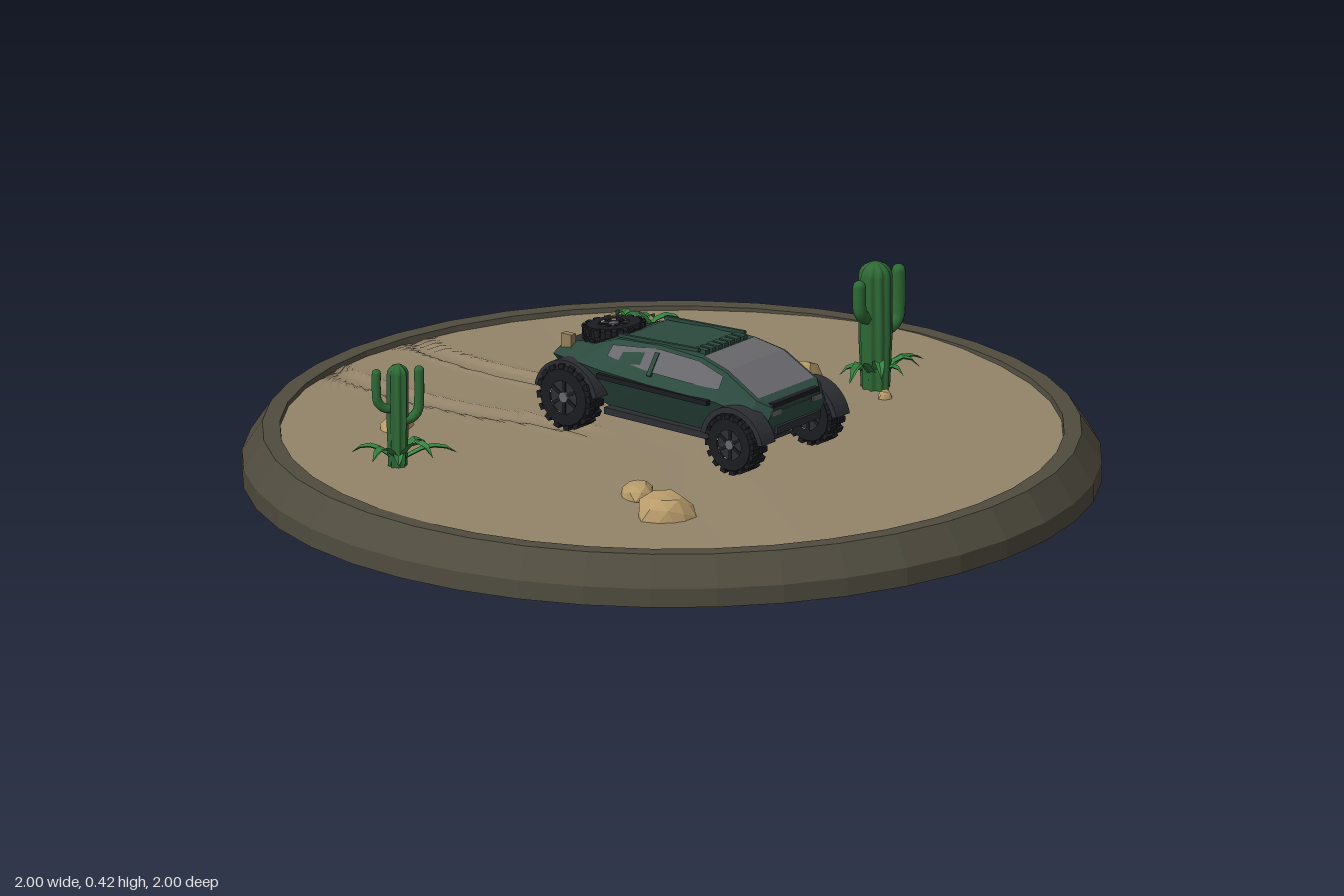
import * as THREE from 'three';

const M = (name, color, opt = {}) => {
  const m = new THREE.MeshStandardMaterial({ color, ...opt });
  m.name = name;
  return m;
};

export function createModel() {
  const root = new THREE.Group();
  root.name = 'desertDiorama';
  const flat = { flatShading: true }, two = { side: THREE.DoubleSide };
  const stone = M('baseStone', 0x504c3f, flat), sand = M('sand', 0x94846a);
  const rockMat = M('rock', 0xb99c6b, flat), cactusMat = M('cactusGreen', 0x2f6a36);
  const leafMat = M('leafGreen', 0x35803f, { ...flat, ...two });
  const paint = M('bodyGreen', 0x2c4a3f, flat), glass = M('glassGrey', 0x68686c, { ...flat, ...two });
  const tyreMat = M('tyreBlack', 0x1b1c21, flat), trim = M('trimGrey', 0x2c2e33, { ...flat, ...two });
  const tan = M('canTan', 0x94805a);

  const add = (parent, name, geo, mat, x = 0, y = 0, z = 0) => {
    const m = new THREE.Mesh(geo, mat);
    m.name = name;
    m.position.set(x, y, z);
    parent.add(m);
    return m;
  };
  const group = (parent, name, x = 0, y = 0, z = 0) => {
    const g = new THREE.Group();
    g.name = name;
    g.position.set(x, y, z);
    parent.add(g);
    return g;
  };
  const box = (parent, name, w, h, d, mat, x, y, z) => add(parent, name, new THREE.BoxGeometry(w, h, d), mat, x, y, z);
  const V2 = (a) => a.map(([x, y]) => new THREE.Vector2(x, y));
  const mesh3 = (tris) => {
    const g = new THREE.BufferGeometry();
    g.setAttribute('position', new THREE.Float32BufferAttribute(tris.flat(), 3));
    g.computeVertexNormals();
    return g;
  };
  const reshape = (g, rule) => {
    const p = g.attributes.position;
    const v = new THREE.Vector3();
    for (let i = 0; i < p.count; i++) {
      rule(v.fromBufferAttribute(p, i));
      p.setXYZ(i, v.x, v.y, v.z);
    }
    g.computeVertexNormals();
    return g;
  };

  // Round plinth with a raised rim
  add(root, 'base', new THREE.LatheGeometry(V2([[0, 0], [1, 0], [1, 0.045], [0.953, 0.115], [0.912, 0.115], [0.908, 0.09]]), 40), stone);

  // Sand with a low dune and two curved wheel ruts behind the car
  const groundY = (x, z) => {
    let y = 0.103 + 0.011 * Math.exp(-(((z + 0.05) / 0.27) ** 2)) + 0.002 * Math.sin(4 * x + 3 * z);
    if (z < -0.15) {
      const bend = 0.04 * (((z + 0.6) / 0.3) ** 2);
      for (const c of [-0.175, 0.105]) {
        const d = Math.abs(x - c - Math.min(bend, 0.04));
        if (d < 0.032) y -= 0.006 * Math.min(1, (0.032 - d) / 0.012);
        else y += 0.004 * Math.exp(-(((d - 0.036) / 0.012) ** 2));
      }
    }
    return y;
  };
  const groundGeo = new THREE.PlaneGeometry(2, 2, 150, 50).rotateX(-Math.PI / 2);
  add(root, 'ground', reshape(groundGeo, (v) => {
    v.z = 0.911 * Math.sin(v.z * Math.PI / 2);
    v.x *= Math.sqrt(Math.max(0, 0.911 ** 2 - v.z ** 2));
    v.y = groundY(v.x, v.z);
  }), sand);

  // Rocks: x, z, half width, half depth, height, turn
  [[-0.485, 0.375, 0.075, 0.07, 0.05, 0.4], [-0.42, 0.235, 0.052, 0.04, 0.032, 0.6], [-0.375, -0.52, 0.047, 0.032, 0.025, 0],
    [0.485, -0.145, 0.06, 0.045, 0.042, -0.7], [0.35, -0.068, 0.036, 0.03, 0.026, -0.7], [0.455, 0.002, 0.072, 0.044, 0.044, 0],
    [0.503, 0.23, 0.02, 0.016, 0.018, 0.3]].forEach(([x, z, w, d, h, turn], k) => {
    const geo = reshape(new THREE.IcosahedronGeometry(1, 1), (v) => {
      v.multiplyScalar(1 + 0.1 * Math.sin(7 * v.x + 5 * v.y + 9 * v.z + k * 2));
      v.set(v.x * w, Math.min(v.y, 0.85) * h * 1.1, v.z * d);
    });
    add(root, 'rock', geo, rockMat, x, groundY(x, z), z).rotation.y = turn;
  });

  // Curved tapering leaf running along +z
  const leaf = (parent, dx, dz, lift) => {
    const len = Math.hypot(dx, dz);
    const geo = reshape(new THREE.PlaneGeometry(1, 1, 2, 5).rotateX(-Math.PI / 2), (v) => {
      const t = v.z + 0.5, side = v.x;
      const w = 0.036 * Math.sqrt(1 - t) * (0.55 + 0.9 * t);
      v.set(side * w, lift * Math.sin(t * 2.5) + Math.abs(side) * w * 0.6, t * len);
    });
    add(parent, 'leaf', geo, leafMat, 0, 0.004, 0).rotation.y = Math.atan2(dx, dz);
  };
  // Ribbed upright with a rounded top
  const stem = (parent, name, r, h, ribs, round) => {
    const pts = [[r * 0.85, -0.01], [r, h * 0.4], [r, h - round]];
    for (let i = 1; i <= 5; i++) pts.push([r * Math.cos(i * Math.PI / 10), h - round + round * Math.sin(i * Math.PI / 10)]);
    const geo = reshape(new THREE.LatheGeometry(V2(pts), ribs * 4), (v) => {
      const s = 0.9 + 0.13 * Math.cos(ribs * Math.atan2(v.z, v.x));
      v.x *= s;
      v.z *= s;
    });
    return add(parent, name, geo, cactusMat);
  };
  // Arm that leaves the stem sideways and bends up
  const arm = (parent, dx, dz, y0, y1, r) => {
    const pts = [[0, y0], [0.6, y0 + 0.003], [0.93, y0 + 0.02], [1, y0 + 0.05], [1, y1 - r]];
    const path = new THREE.CatmullRomCurve3(pts.map(([t, y]) => new THREE.Vector3(dx * t, y, dz * t)));
    add(parent, 'cactusArm', new THREE.TubeGeometry(path, 18, r, 10), cactusMat);
    add(parent, 'cactusArmTip', new THREE.SphereGeometry(r, 10, 6), cactusMat, dx, y1 - r, dz);
  };
  const plant = (name, x, z, leaves, lift) => {
    const g = group(root, name, x, groundY(x, z), z);
    leaves.forEach(([dx, dz], i) => leaf(g, dx, dz, lift * (0.75 + 0.25 * (i % 3))));
    return g;
  };
  const tall = plant('tallCactus', 0.545, 0.167, [[0.16, 0.015], [0.075, -0.105], [-0.14, 0.035], [-0.06, -0.06], [0.085, 0.065], [-0.07, 0.075], [0.03, 0.06]], 0.06);
  stem(tall, 'cactusTrunk', 0.039, 0.307, 9, 0.035);
  arm(tall, -0.06, 0, 0.175, 0.275, 0.016);
  arm(tall, 0.073, 0.01, 0.135, 0.285, 0.017);
  const small = plant('smallCactus', -0.605, -0.33, [[-0.055, -0.095], [-0.1, 0.005], [-0.005, 0.11], [0.1, 0.1], [0.075, 0.03], [0.06, -0.05], [-0.07, 0.06]], 0.05);
  stem(small, 'cactusTrunk', 0.025, 0.248, 8, 0.024);
  arm(small, -0.042, -0.03, 0.14, 0.24, 0.011);
  arm(small, 0.042, 0.03, 0.11, 0.24, 0.012);
  const barrel = plant('barrelCactus', 0.445, -0.47, [[-0.095, -0.08], [0.105, -0.025], [0.1, 0.075], [-0.11, 0.045], [0.02, 0.09], [0.04, -0.09]], 0.05);
  stem(barrel, 'barrelStem', 0.044, 0.085, 8, 0.055);

  // ---- Off-road car ----
  const car = group(root, 'car');
  // Body cross-sections: z, floor half width, floor y, shoulder half width, shoulder y, roof half width, roof y
  const S = [
    [0.372, 0.08, 0.2, 0.105, 0.232, 0.085, 0.258], [0.342, 0.09, 0.18, 0.138, 0.245, 0.112, 0.278],
    [0.25, 0.1, 0.165, 0.15, 0.265, 0.11, 0.328], [0.17, 0.1, 0.16, 0.157, 0.268, 0.1, 0.345],
    [0.05, 0.1, 0.162, 0.158, 0.27, 0.1, 0.35], [-0.09, 0.1, 0.168, 0.155, 0.275, 0.09, 0.336],
    [-0.17, 0.1, 0.19, 0.145, 0.278, 0.085, 0.305], [-0.262, 0.07, 0.225, 0.115, 0.272, 0.075, 0.29]];
  const rings = S.map(([z, a, ya, b, yb, c, yc]) => [[a, ya, z], [b, yb, z], [c, yc, z], [-c, yc, z], [-b, yb, z], [-a, ya, z]]);
  const tris = [];
  for (let k = 0; k < rings.length - 1; k++) {
    for (let i = 0; i < 6; i++) {
      const j = (i + 1) % 6, A = rings[k], B = rings[k + 1];
      tris.push(A[i], B[i], B[j], A[i], B[j], A[j]);
    }
  }
  for (let i = 1; i < 5; i++) {
    const A = rings[0], B = rings[rings.length - 1];
    tris.push(A[0], A[i], A[i + 1], B[0], B[i + 1], B[i]);
  }
  add(car, 'body', mesh3(tris), paint);

  // Thin panels laid over the body
  const strip = (name, rows, mat) => {
    const t = [];
    for (let i = 0; i < rows.length - 1; i++) {
      const [a, b] = rows[i], [c, d] = rows[i + 1];
      t.push(a, c, d, a, d, b);
    }
    add(car, name, mesh3(t), mat);
  };
  const across = (k, f) => [[-S[k][5] * f, S[k][6] + 0.003, S[k][0]], [S[k][5] * f, S[k][6] + 0.003, S[k][0]]];
  strip('windshield', [1, 2, 3].map((k) => across(k, 0.93)), glass);
  strip('rearDeck', [5, 6, 7].map((k) => across(k, 0.9)), trim);
  for (const s of [1, -1]) {
    const at = (k, t) => [s * (S[k][3] + (S[k][5] - S[k][3]) * t + 0.003), S[k][4] + (S[k][6] - S[k][4]) * t + 0.002, S[k][0]];
    strip('sideWindow', [[2, 0.4, 0.85], [3, 0.3, 0.9], [4, 0.3, 0.9], [5, 0.45, 0.8]].map(([k, a, b]) => [at(k, a), at(k, b)]), glass);
    box(car, 'windowPillar', 0.006, 0.06, 0.012, paint, s * 0.131, 0.312, 0.05).rotation.z = s * 0.62;
    box(car, 'sill', 0.03, 0.016, 0.32, trim, s * 0.112, 0.168, 0.06);
    box(car, 'sideTrim', 0.012, 0.012, 0.33, tyreMat, s * 0.157, 0.262, 0.07);
    box(car, 'roofRail', 0.008, 0.008, 0.24, paint, s * 0.085, 0.35, 0.03).rotation.x = -0.05;
    box(car, 'headlight', 0.035, 0.012, 0.012, glass, s * 0.075, 0.246, 0.368);
    box(car, 'fuelCan', 0.018, 0.035, 0.03, tan, s * 0.085, 0.3, -0.24);
  }
  for (let i = -3; i <= 3; i++) box(car, 'roofVent', 0.016, 0.01, 0.035, paint, i * 0.023, 0.35, 0.145);
  box(car, 'grille', 0.17, 0.022, 0.02, tyreMat, 0, 0.258, 0.362);
  box(car, 'frontBumper', 0.16, 0.018, 0.03, trim, 0, 0.205, 0.365);
  box(car, 'rearBumper', 0.16, 0.02, 0.02, trim, 0, 0.235, -0.262);
  box(car, 'chassis', 0.11, 0.025, 0.5, trim, 0, 0.17, 0.06).rotation.x = 0.03;

  // Knobbly tyre with spoked hub, axis along x
  const wheel = (parent, name, r, w) => {
    const g = group(parent, name);
    const profile = V2([[r * 0.5, -w / 2], [r * 0.86, -w / 2], [r * 0.95, -w * 0.35], [r * 0.95, w * 0.35], [r * 0.86, w / 2], [r * 0.5, w / 2]]);
    add(g, 'tyre', new THREE.LatheGeometry(profile, 20).rotateZ(Math.PI / 2), tyreMat);
    add(g, 'rim', new THREE.CylinderGeometry(r * 0.53, r * 0.53, w * 0.8, 14).rotateZ(Math.PI / 2), trim);
    add(g, 'hub', new THREE.CylinderGeometry(r * 0.17, r * 0.17, w * 1.02, 8).rotateZ(Math.PI / 2), glass);
    for (let i = 0; i < 16; i++) {
      const a = i * Math.PI / 8;
      for (const s of [1, -1]) {
        const b = a + s * 0.1;
        box(g, 'tread', w * 0.42, r * 0.14, r * 0.2, tyreMat, s * w * 0.27, r * 0.94 * Math.cos(b), r * 0.94 * Math.sin(b)).rotation.x = b;
      }
    }
    for (let i = 0; i < 6; i++) {
      const a = i * Math.PI / 3;
      box(g, 'spoke', w * 0.9, r * 0.4, r * 0.1, tyreMat, 0, r * 0.32 * Math.cos(a), r * 0.32 * Math.sin(a)).rotation.x = a;
    }
    return g;
  };
  // Arched fender, extruded sideways
  const arch = new THREE.Shape();
  arch.absarc(0, 0, 0.094, 0.2, 2.94, false);
  arch.absarc(0, 0, 0.08, 2.94, 0.2, true);
  const archGeo = new THREE.ExtrudeGeometry(arch, { depth: 0.05, bevelEnabled: false, curveSegments: 10 }).translate(0, 0, -0.025).rotateY(Math.PI / 2);
  for (const [end, y, z, r] of [['front', 0.178, 0.308, 0.072], ['rear', 0.193, -0.187, 0.079]]) {
    for (const s of [1, -1]) {
      wheel(car, end + 'Wheel', r, 0.054).position.set(s * 0.144, y, z);
      add(car, end + 'Fender', archGeo, trim, s * 0.137, y - 0.006, z);
    }
    add(car, end + 'Axle', new THREE.CylinderGeometry(0.012, 0.012, 0.26, 8).rotateZ(Math.PI / 2), trim, 0, y, z);
  }
  const spare = wheel(car, 'spareWheel', 0.074, 0.042);
  spare.position.set(0, 0.315, -0.172);
  spare.rotation.set(-0.1, 0, Math.PI / 2);

  return root;
}
